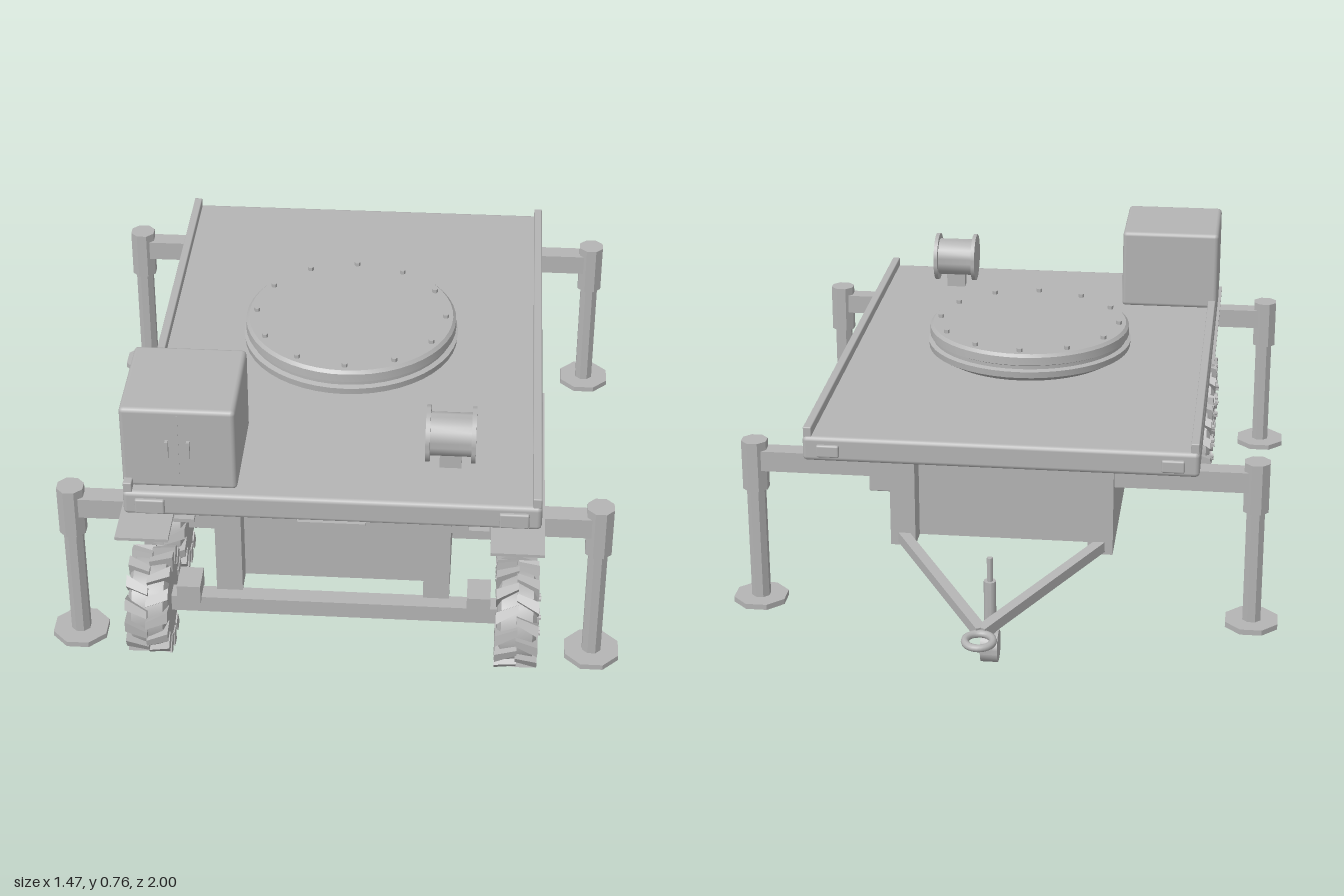
import * as THREE from 'three';
import { toCreasedNormals } from 'three/addons/utils/BufferGeometryUtils.js';
import { RoundedBoxGeometry } from 'three/addons/geometries/RoundedBoxGeometry.js';

const grey = new THREE.MeshStandardMaterial({ color: 0xb4b4b4 });
grey.name = 'plain grey';

function add(parent, name, geo, x = 0, y = 0, z = 0) {
  const m = new THREE.Mesh(geo, grey);
  m.name = name;
  m.position.set(x, y, z);
  parent.add(m);
  return m;
}
// Box given by its min and max on each axis
function box(parent, name, x0, x1, y0, y1, z0, z1, round = 0) {
  const s = [x1 - x0, y1 - y0, z1 - z0];
  const geo = round ? new RoundedBoxGeometry(...s, 2, round) : new THREE.BoxGeometry(...s);
  return add(parent, name, geo, (x0 + x1) / 2, (y0 + y1) / 2, (z0 + z1) / 2);
}
// Cylinder along y or x; low side counts stay faceted
function cyl(parent, name, r, len, sides, x, y, z, axis = 'y') {
  const geo = new THREE.CylinderGeometry(r, r, len, sides);
  geo.rotateY(Math.PI / sides);
  if (axis === 'x') geo.rotateZ(Math.PI / 2);
  return add(parent, name, toCreasedNormals(geo, 0.6), x, y, z);
}
function lathe(points, sides) {
  return toCreasedNormals(new THREE.LatheGeometry(points.map(p => new THREE.Vector2(...p)), sides), 0.4);
}

// Wheel with its outer face towards +x
function wheel() {
  const g = new THREE.Group();
  g.name = 'wheel';
  const tyre = lathe([[0, -0.05], [0.1, -0.05], [0.121, -0.04], [0.124, 0],
    [0.121, 0.04], [0.105, 0.05], [0.078, 0.05], [0.072, 0.042], [0, 0.042]], 32);
  tyre.rotateZ(-Math.PI / 2);
  add(g, 'tyre', tyre);
  // Slanted lugs, staggered between the two halves of the tread
  const count = 14;
  for (let i = 0; i < count; i++) {
    for (const s of [-1, 1]) {
      const geo = new THREE.BoxGeometry(0.056, 0.03, 0.026);
      const p = geo.attributes.position;
      for (let k = 0; k < p.count; k++) {
        const outer = p.getX(k) * s > 0;
        p.setZ(k, p.getZ(k) * (outer ? 1.15 : 0.75) + (outer ? 0.013 : -0.013));
        if (outer && p.getY(k) < 0) p.setY(k, -0.03);
      }
      geo.computeVertexNormals();
      geo.translate(s * 0.026, 0.121, 0);
      geo.rotateX((i + (s > 0 ? 0.5 : 0)) * 2 * Math.PI / count);
      add(g, 'treadLug', geo);
    }
  }
  cyl(g, 'hub', 0.026, 0.026, 16, 0.045, 0, 0, 'x');
  for (let i = 0; i < 6; i++) {
    const a = i * Math.PI / 3;
    cyl(g, 'wheelNut', 0.007, 0.022, 6, 0.05, 0.05 * Math.cos(a), 0.05 * Math.sin(a), 'x');
  }
  return g;
}

// Telescopic leg on its arm, for one corner
function outrigger(side, z) {
  const g = new THREE.Group();
  g.name = 'outrigger';
  const a = side * 0.28, b = side * 0.65;
  box(g, 'outriggerArm', Math.min(a, b), Math.max(a, b), 0.4, 0.456, z - 0.026, z + 0.026);
  const x = side * 0.665;
  cyl(g, 'legSleeve', 0.036, 0.138, 8, x, 0.411, z);
  cyl(g, 'legTube', 0.026, 0.33, 8, x, 0.185, z);
  cyl(g, 'footPad', 0.075, 0.015, 8, x, 0.018, z);
  return g;
}

export function createModel() {
  const root = new THREE.Group();
  root.name = 'trailer';

  // Deck with side rails
  box(root, 'deck', -0.518, 0.518, 0.462, 0.53, -0.537, 0.905, 0.012);
  for (const s of [-1, 1]) {
    box(root, 'sideRail', s * 0.505 - 0.011, s * 0.505 + 0.011, 0.525, 0.554, -0.53, 0.9, 0.003);
    // Corner lamps, front and rear
    box(root, 'frontLamp', s * 0.45 - 0.037, s * 0.45 + 0.037, 0.472, 0.514, 0.895, 0.914, 0.005);
    box(root, 'rearLamp', s * 0.45 - 0.03, s * 0.45 + 0.03, 0.476, 0.51, -0.546, -0.53, 0.005);
    // Flat mudguard over both wheels
    box(root, 'mudguard', s * 0.46 - 0.066, s * 0.46 + 0.066, 0.454, 0.462, 0.3, 1.0);
    box(root, 'frontBracket', s * 0.365 - 0.025, s * 0.365 + 0.025, 0.454, 0.464, 0.86, 0.917);
  }
  box(root, 'frontPlate', -0.085, 0.085, 0.458, 0.466, 0.87, 0.912);

  // Deep chassis beams with cross plates, open underneath
  for (const s of [-1, 1]) {
    box(root, 'chassisBeam', s * 0.262 - 0.033, s * 0.262 + 0.033, 0.216, 0.465, -0.5, 0.88);
  }
  for (let i = 0; i < 6; i++) {
    const z = -0.42 + i * 0.245;
    box(root, 'crossPlate', -0.235, 0.235, 0.216, 0.445, z - 0.008, z + 0.008);
  }

  for (const s of [-1, 1]) for (const z of [-0.45, 0.82]) root.add(outrigger(s, z));

  // Axles, suspension blocks and wheels
  for (const z of [0.485, 0.832]) {
    box(root, 'axle', -0.43, 0.43, 0.12, 0.166, z - 0.023, z + 0.023);
    for (const s of [-1, 1]) {
      box(root, 'suspensionBlock', s * 0.37 - 0.03, s * 0.37 + 0.03, 0.16, 0.212, z - 0.04, z + 0.04);
      const w = wheel();
      w.position.set(s * 0.468, 0.138, z);
      if (s < 0) w.rotation.y = Math.PI;
      root.add(w);
    }
  }

  // Toolbox with two handles
  box(root, 'toolbox', 0.345, 0.455, 0.116, 0.226, 0.06, 0.255, 0.004);
  for (const y of [0.145, 0.195]) box(root, 'toolboxHandle', 0.45, 0.462, y - 0.004, y + 0.004, 0.135, 0.185);

  // Turntable with a ring of bolts
  const table = new THREE.Group();
  table.name = 'turntable';
  table.position.z = 0.183;
  root.add(table);
  add(table, 'turntableDisc', lathe([[0.25, 0.528], [0.287, 0.55], [0.289, 0.568], [0.276, 0.572],
    [0.276, 0.582], [0.284, 0.586], [0.283, 0.608], [0.275, 0.616], [0, 0.616]], 48));
  for (let i = 0; i < 12; i++) {
    const a = i * Math.PI / 6;
    cyl(table, 'turntableBolt', 0.008, 0.012, 6, 0.255 * Math.sin(a), 0.62, 0.255 * Math.cos(a));
  }

  // Equipment cabinet with door handles
  box(root, 'cabinet', -0.52, -0.235, 0.528, 0.76, 0.592, 0.876, 0.012);
  box(root, 'cabinetDoorSeam', -0.379, -0.376, 0.55, 0.745, 0.87, 0.877);
  for (const x of [-0.405, -0.352]) box(root, 'cabinetHandle', x - 0.004, x + 0.004, 0.625, 0.672, 0.872, 0.887);

  // Cable drum
  cyl(root, 'drumCore', 0.055, 0.12, 24, 0.287, 0.62, 0.73, 'x');
  for (const x of [0.23, 0.344]) cyl(root, 'drumFlange', 0.071, 0.011, 24, x, 0.62, 0.73, 'x');
  box(root, 'drumSaddle', 0.26, 0.315, 0.525, 0.575, 0.71, 0.75);

  // Drawbar and towing eye
  for (const s of [-1, 1]) {
    const from = new THREE.Vector3(s * 0.262, 0.238, -0.495);
    const to = new THREE.Vector3(0, 0.184, -0.915);
    const bar = add(root, 'drawbar', new THREE.BoxGeometry(0.028, 0.028, from.distanceTo(to)));
    bar.position.copy(from).add(to).multiplyScalar(0.5);
    bar.lookAt(to);
  }
  const eye = new THREE.TorusGeometry(0.035, 0.01, 10, 28);
  eye.rotateX(Math.PI / 2 - 0.06);
  add(root, 'towingEye', eye, 0, 0.181, -0.955);

  // Jockey wheel
  cyl(root, 'jockeyTube', 0.016, 0.15, 12, 0, 0.165, -0.737);
  cyl(root, 'jockeyRod', 0.008, 0.1, 8, 0, 0.255, -0.737);
  cyl(root, 'jockeyWheel', 0.042, 0.044, 20, 0, 0.055, -0.737, 'x');

  return root;
}
